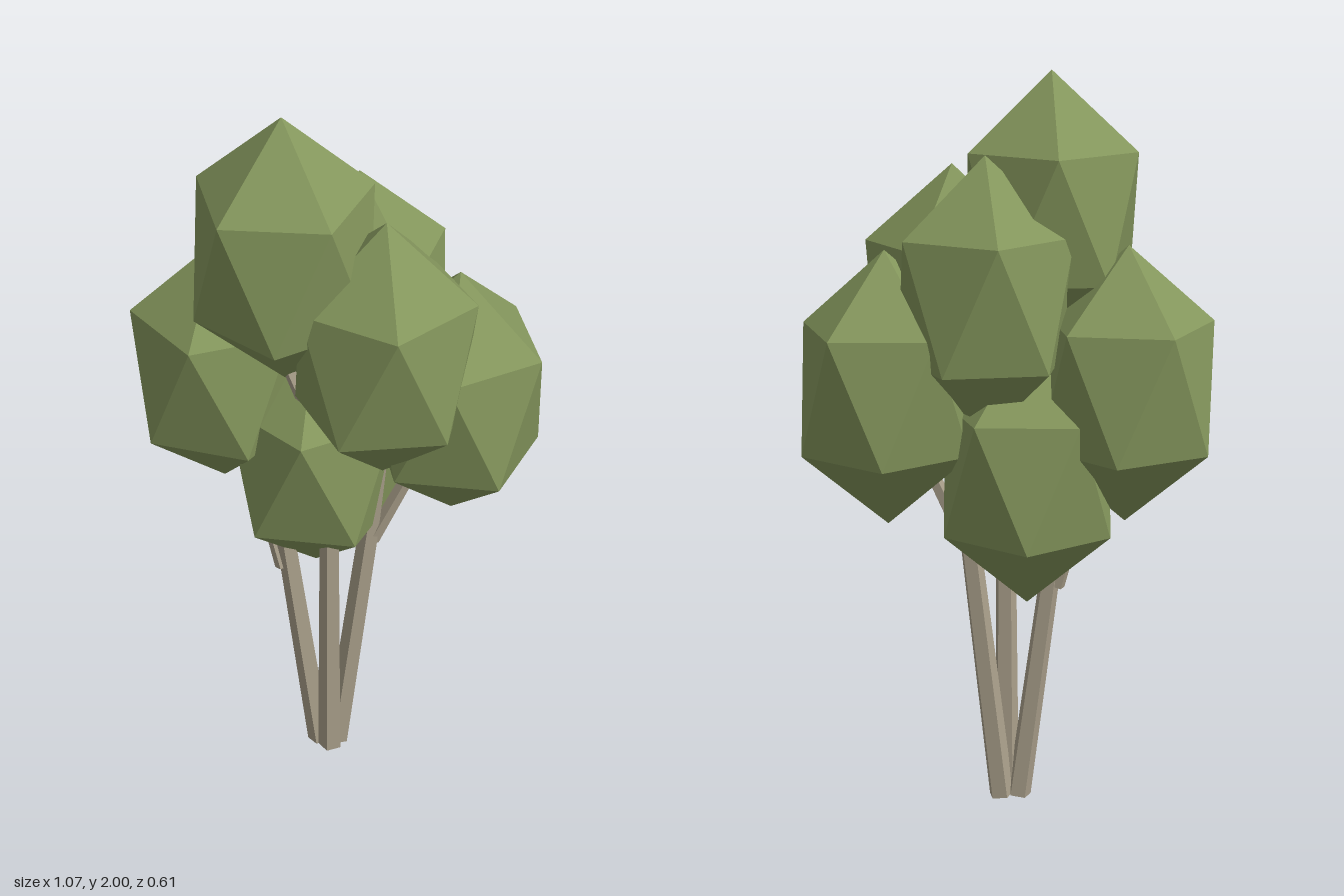
import * as THREE from 'three';

const leaf = new THREE.MeshStandardMaterial({ color: 0x84965c, flatShading: true });
leaf.name = 'leafGreen';
const bark = new THREE.MeshStandardMaterial({ color: 0xaaa08b, flatShading: true });
bark.name = 'greyBark';

// Tapered five-sided limb between two points
function limb(name, from, to, r0, r1) {
  const a = new THREE.Vector3(...from), b = new THREE.Vector3(...to);
  const dir = b.clone().sub(a);
  const mesh = new THREE.Mesh(new THREE.CylinderGeometry(r1, r0, dir.length(), 5), bark);
  mesh.position.copy(a).add(b).multiplyScalar(0.5);
  mesh.quaternion.setFromUnitVectors(new THREE.Vector3(0, 1, 0), dir.normalize());
  mesh.name = name;
  return mesh;
}

// Tall icosahedron standing on a corner; turn is the azimuth of an upper corner
function clump(name, x, y, z, turn) {
  const geo = new THREE.IcosahedronGeometry(1, 0);
  geo.rotateZ(-Math.atan(2 / (1 + Math.sqrt(5))));
  geo.rotateY(-THREE.MathUtils.degToRad(turn));
  geo.scale(0.257, 0.367, 0.257);
  const mesh = new THREE.Mesh(geo, leaf);
  mesh.position.set(x, y, z);
  mesh.name = name;
  return mesh;
}

export function createModel() {
  const tree = new THREE.Group();
  tree.name = 'tree';

  // Foliage: centre and turn in degrees
  const foliage = new THREE.Group();
  foliage.name = 'foliage';
  foliage.add(
    clump('topClump', -0.1, 1.633, 0.08, 115),
    clump('frontClump', 0.16, 1.39, 0.08, -4),
    clump('rightClump', -0.312, 1.205, -0.03, 91),
    clump('leftClump', 0.312, 1.187, -0.08, 10.5),
    clump('lowClump', -0.053, 0.965, -0.03, 83),
    clump('backClump', 0.05, 1.433, -0.08, 254),
  );
  tree.add(foliage);

  // Three stems fanning out from a shared foot, with side branches
  const wood = new THREE.Group();
  wood.name = 'wood';
  wood.add(
    limb('rightStem', [-0.022, 0, 0.05], [-0.125, 0.8, 0.05], 0.034, 0.027),
    limb('rightStemTop', [-0.125, 0.8, 0.05], [-0.2, 1.15, 0.0], 0.027, 0.018),
    limb('rightBranch', [-0.125, 0.62, 0.05], [-0.2, 0.88, 0.03], 0.022, 0.015),
    limb('middleStem', [0.015, 0, 0.068], [0.02, 0.8, 0.085], 0.035, 0.028),
    limb('middleStemTop', [0.02, 0.8, 0.085], [-0.02, 1.35, 0.08], 0.028, 0.02),
    limb('middleBranch', [0.0, 1.08, 0.082], [-0.1, 1.32, 0.08], 0.02, 0.016),
    limb('frontBranch', [0.0, 1.22, 0.08], [0.1, 1.08, 0.06], 0.016, 0.018),
    limb('leftStem', [0.026, 0, 0.036], [0.108, 0.75, 0.015], 0.035, 0.029),
    limb('leftStemTop', [0.108, 0.75, 0.015], [0.15, 1.15, 0.01], 0.029, 0.02),
    limb('leftBranch', [0.118, 0.74, 0.012], [0.23, 1.0, -0.02], 0.022, 0.018),
  );
  tree.add(wood);
  return tree;
}
